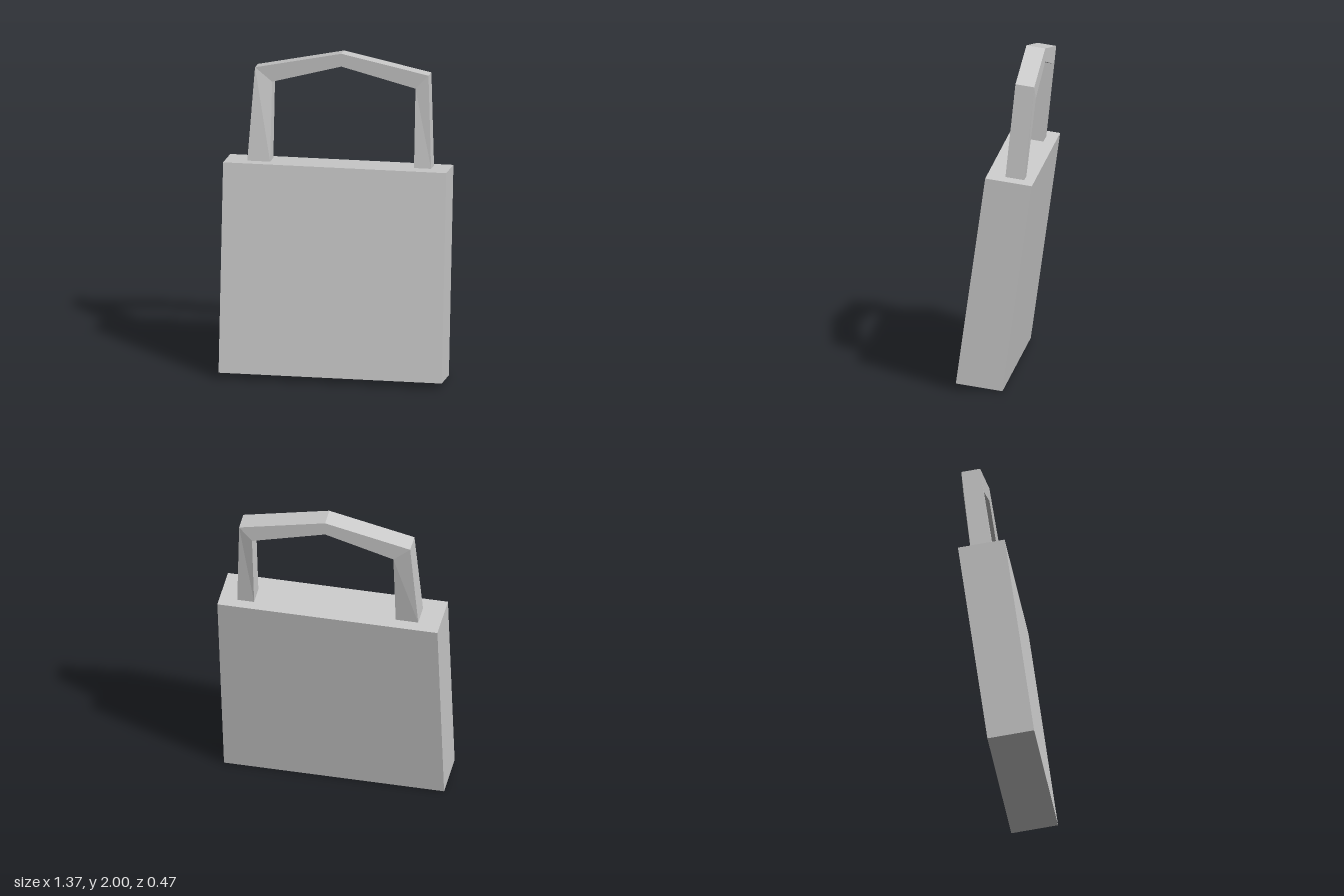
import * as THREE from 'three';

const material = new THREE.MeshStandardMaterial({ color: 0xcccccc, flatShading: true });

// Skins a row of four-cornered sections and closes both ends
function loft(sections) {
  const index = [0, 1, 2, 0, 2, 3];
  for (let i = 0; i < sections.length - 1; i++) {
    for (let k = 0; k < 4; k++) {
      const a = i * 4 + k, b = i * 4 + (k + 1) % 4;
      index.push(a, b + 4, b, a, a + 4, b + 4);
    }
  }
  const e = (sections.length - 1) * 4;
  index.push(e, e + 2, e + 1, e, e + 3, e + 2);
  const geometry = new THREE.BufferGeometry();
  geometry.setAttribute('position', new THREE.Float32BufferAttribute(sections.flat(2), 3));
  geometry.setIndex(index);
  const flat = geometry.toNonIndexed();
  flat.computeVertexNormals();
  return flat;
}

// Handle section: outer and inner edge (x, y at the front), front and back z;
// the back edge sits lower, following the lean
function section([xOut, yOut], [xIn, yIn], zFront, zBack) {
  const drop = (zFront - zBack) * 0.14;
  return [
    [xOut, yOut, zFront], [xOut, yOut - drop, zBack],
    [xIn, yIn - drop, zBack], [xIn, yIn, zFront],
  ];
}

export function createModel() {
  const model = new THREE.Group();
  model.name = 'padlock';

  // Block leaning backwards
  const body = new THREE.Mesh(new THREE.BoxGeometry(1.37, 1.298, 0.288), material);
  body.name = 'body';
  body.position.y = 0.663;
  body.rotation.x = -0.139;
  model.add(body);

  // Angular shackle, from the right foot over the peak to the left foot
  const shackle = new THREE.Mesh(loft([
    section([-0.55, 1.315], [-0.41, 1.315], -0.035, -0.165),
    section([-0.515, 1.887], [-0.41, 1.8], -0.115, -0.23),
    section([0.015, 2], [0.015, 1.918], -0.115, -0.23),
    section([0.55, 1.887], [0.47, 1.8], -0.115, -0.23),
    section([0.575, 1.312], [0.47, 1.312], -0.057, -0.172),
  ]), material);
  shackle.name = 'shackle';
  model.add(shackle);

  return model;
}
